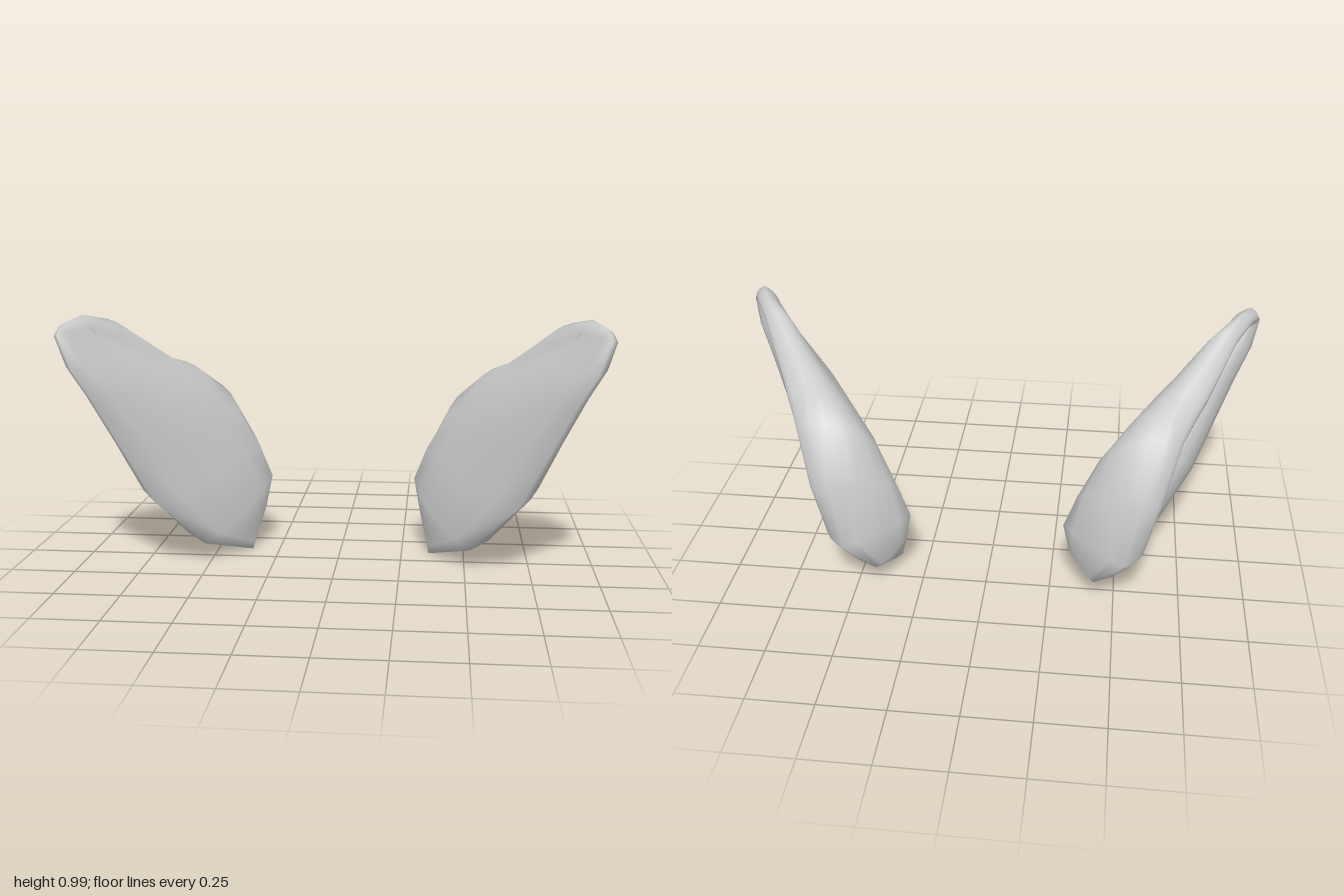
import * as THREE from 'three';
import { mergeVertices } from 'three/addons/utils/BufferGeometryUtils.js';

const V = (x, y, z) => new THREE.Vector3(x, y, z);
const toPoints = (list) => list.map((p) => V(...p));

// Outer edge of the ear: from the tip over the back, under the lobe and up the front
const outline = toPoints([
  [0.985, 0.93, 0.36], [0.97, 0.97, 0.33], [0.93, 0.99, 0.225], [0.87, 0.965, 0.12],
  [0.72, 0.80, -0.075], [0.68, 0.77, -0.175], [0.65, 0.69, -0.27], [0.58, 0.45, -0.36],
  [0.53, 0.20, -0.365], [0.42, 0.09, -0.325], [0.38, 0.01, -0.15], [0.36, 0.0, -0.1],
  [0.52, 0.075, 0.085], [0.69, 0.27, 0.195], [0.79, 0.49, 0.26], [0.88, 0.69, 0.325],
  [0.94, 0.80, 0.355],
]);

// Lip of the hollow, in the same order
const lip = toPoints([
  [0.965, 0.91, 0.28], [0.96, 0.92, 0.27], [0.94, 0.92, 0.22], [0.885, 0.89, 0.12],
  [0.795, 0.74, -0.06], [0.755, 0.71, -0.14], [0.71, 0.66, -0.22], [0.65, 0.45, -0.31],
  [0.60, 0.30, -0.30], [0.605, 0.29, -0.25], [0.62, 0.29, -0.17], [0.635, 0.30, -0.13],
  [0.68, 0.35, -0.06], [0.74, 0.45, 0.0], [0.80, 0.58, 0.06], [0.87, 0.73, 0.14],
  [0.94, 0.85, 0.22],
]);

// Ridge of the convex inner side, from the tip to the base
const ridge = toPoints([
  [0.875, 0.91, 0.24], [0.765, 0.84, 0.12], [0.60, 0.72, -0.02], [0.51, 0.635, -0.10],
  [0.42, 0.55, -0.18], [0.345, 0.41, -0.22], [0.295, 0.28, -0.23], [0.32, 0.15, -0.21],
]);

// Deepest line of the hollow, matching the ridge point by point
const trough = toPoints([
  [0.945, 0.905, 0.26], [0.84, 0.84, 0.15], [0.72, 0.72, 0.06], [0.655, 0.635, 0.02],
  [0.59, 0.55, -0.02], [0.55, 0.46, -0.06], [0.55, 0.43, -0.09], [0.55, 0.43, -0.09],
]);
const spineIndex = [0, 0, 0, 1, 2, 3, 4, 5, 6, 7, 7, 7, 6, 5, 4, 2, 1];

// Curve from a to b, pushed out at its middle by the given offset
const bow = (a, b, offset) =>
  new THREE.QuadraticBezierCurve3(a, a.clone().lerp(b, 0.5).addScaledVector(offset, 2), b);

// Swelling of the inner side, relative to the strip's length
function swellOf(i) {
  if (i >= 12) return V(-0.07, -0.01, 0.075);
  if (i >= 10) return V(0, 0, 0);
  if (i >= 8) return V(-0.03, 0.01, -0.04);
  return V(-0.12, 0.12, -0.08);
}

// One strip from the hollow's floor, over the lip and rim, to the inner ridge
function strip(i) {
  const edge = outline[i], rim = lip[i];
  const back = ridge[spineIndex[i]], floor = trough[spineIndex[i]];
  const isBase = i >= 8 && i <= 12;

  const wallFoot = rim.clone().lerp(floor, 0.35);
  wallFoot.x = THREE.MathUtils.lerp(rim.x, floor.x, 0.6);
  const hollow = new THREE.QuadraticBezierCurve3(floor, wallFoot, rim);

  const roll = isBase ? V(0.75, -0.45, 0) : V(1, 0, 0);
  const rolledRim = bow(rim, edge, roll.multiplyScalar(0.19 * rim.distanceTo(edge) + 0.015));
  const shell = bow(edge, back, swellOf(i).multiplyScalar(edge.distanceTo(back)));

  return [
    ...hollow.getPoints(5),
    ...rolledRim.getPoints(5).slice(1),
    ...shell.getPoints(6).slice(1),
  ];
}

function earGeometry(side) {
  const strips = outline.map((_, i) => strip(i));
  const columns = strips.length, rows = strips[0].length;
  const positions = strips.flat().flatMap((p) => [p.x * side, p.y, p.z]);
  const index = [];
  const triangle = (a, b, c) => (side > 0 ? index.push(a, b, c) : index.push(a, c, b));
  for (let i = 0; i < columns; i++) {
    for (let j = 0; j < rows - 1; j++) {
      const a = i * rows + j;
      const b = ((i + 1) % columns) * rows + j;
      triangle(a, b, a + 1);
      triangle(b, b + 1, a + 1);
    }
  }
  const geometry = new THREE.BufferGeometry();
  geometry.setAttribute('position', new THREE.Float32BufferAttribute(positions, 3));
  geometry.setIndex(index);
  const merged = mergeVertices(geometry, 1e-4);
  merged.computeVertexNormals();
  return merged;
}

export function createModel() {
  const group = new THREE.Group();
  group.name = 'earPair';
  const material = new THREE.MeshStandardMaterial({ color: 0xcccccc, side: THREE.DoubleSide });

  // Mirrored ears
  for (const [name, side] of [['leftEar', 1], ['rightEar', -1]]) {
    const ear = new THREE.Mesh(earGeometry(side), material);
    ear.name = name;
    group.add(ear);
  }
  return group;
}
